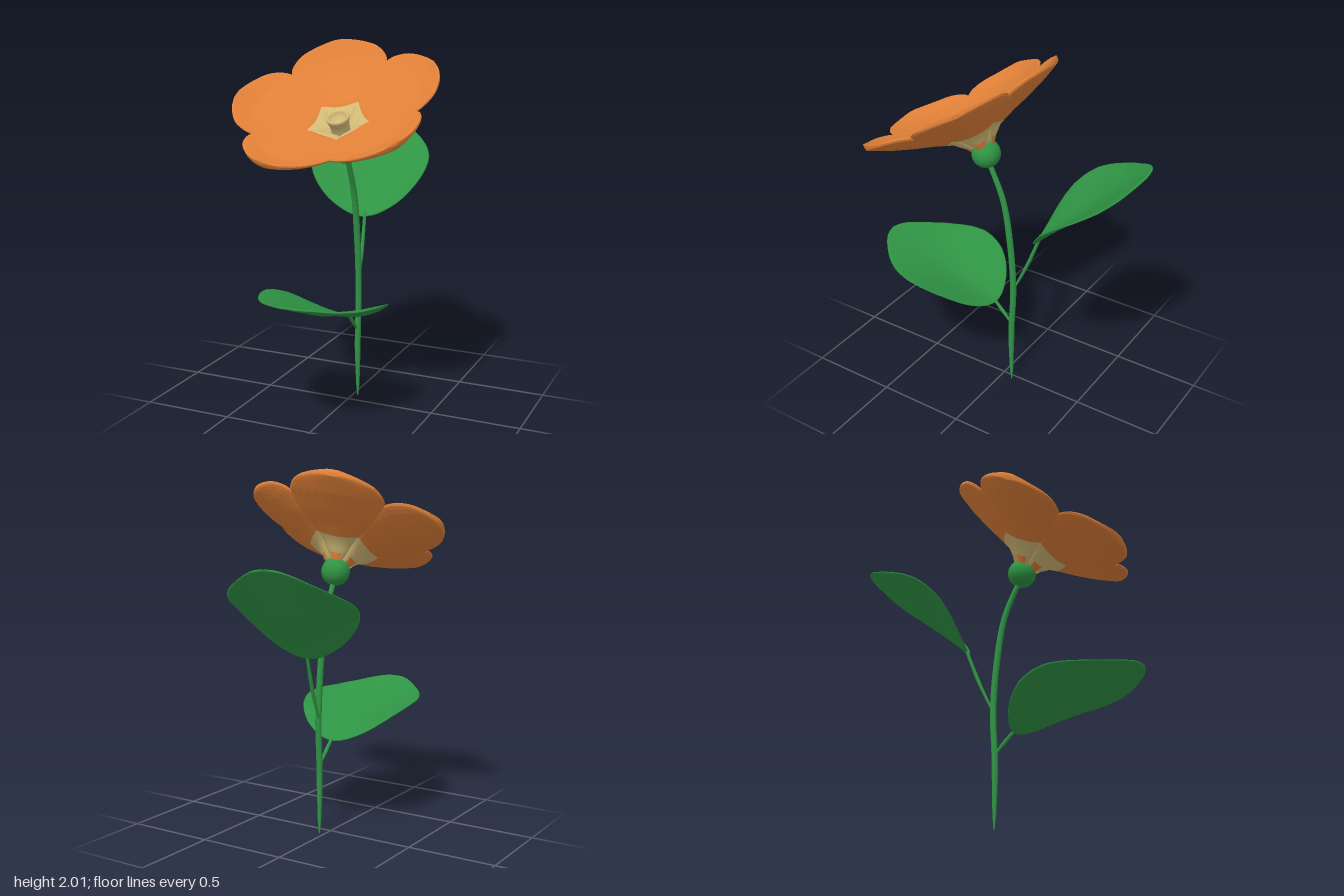
import * as THREE from 'three';

const mat = (name, color, flatShading = false) => {
  const m = new THREE.MeshStandardMaterial({ color, flatShading, side: THREE.DoubleSide });
  m.name = name;
  return m;
};
const v3 = (p) => new THREE.Vector3(...p);

// Piecewise-linear lookup in a short table of [x, y] pairs
function lookup(table, x) {
  for (let i = 1; i < table.length; i++) {
    const [x0, y0] = table[i - 1], [x1, y1] = table[i];
    if (x <= x1) return y0 + (y1 - y0) * Math.max(0, (x - x0) / (x1 - x0));
  }
  return table[table.length - 1][1];
}

// Cupped blade growing along +z: one rounded ring per [u, halfWidth] station,
// lying between the surfaces top(u, s, w) and bottom(u, s, w).
// lean(u) tips a ring so its upper side sits nearer the base.
function blade(stations, top, bottom, lean) {
  const m = 28, pos = [], idx = [];
  stations.forEach(([u0, w]) => {
    const taper = Math.min(1, w / 0.05);
    for (let k = 0; k < m; k++) {
      const a = (2 * Math.PI * k) / m, s = Math.cos(a), n = Math.sin(a);
      const u = u0 - lean(u0) * n;
      const hi = top(u, s, w), lo = bottom(u, s, w);
      const offset = (hi - lo) / 2 * taper * Math.sign(n) * Math.abs(n) ** 0.5;
      pos.push(s * w, (hi + lo) / 2 + offset, u);
    }
  });
  for (let i = 0; i < stations.length - 1; i++) {
    for (let k = 0; k < m; k++) {
      const a = i * m + k, b = i * m + ((k + 1) % m);
      idx.push(a, b, a + m, b, b + m, a + m);
    }
  }
  const g = new THREE.BufferGeometry();
  g.setAttribute('position', new THREE.Float32BufferAttribute(pos, 3));
  g.setIndex(idx);
  g.computeVertexNormals();
  return g;
}

// Sample a smooth outline through a few [u, halfWidth] points
function outline(points, n) {
  return new THREE.SplineCurve(points.map(p => new THREE.Vector2(...p)))
    .getPoints(n).map(p => [p.x, Math.max(0, p.y)]);
}

// Tube whose radius follows a table over its length
function taperedTube(points, radii, segments) {
  const path = new THREE.CatmullRomCurve3(points.map(v3)), sides = 12;
  const g = new THREE.TubeGeometry(path, segments, 1, sides, false);
  const p = g.attributes.position, v = new THREE.Vector3();
  for (let i = 0; i < p.count; i++) {
    const t = Math.floor(i / (sides + 1)) / segments, c = path.getPointAt(t);
    v.fromBufferAttribute(p, i).sub(c).multiplyScalar(lookup(radii, t)).add(c);
    p.setXYZ(i, v.x, v.y, v.z);
  }
  return g;
}

export function createModel() {
  const model = new THREE.Group();
  const green = mat('leaf green', 0x2f9444);
  const orange = mat('petal orange', 0xe08038, true);
  const cream = mat('throat yellow', 0xd6bd78);
  const add = (parent, name, geometry, material) => {
    const mesh = new THREE.Mesh(geometry, material);
    mesh.name = name;
    parent.add(mesh);
    return mesh;
  };

  // Stem and leaf stalks
  add(model, 'stem', taperedTube(
    [[0.03, 0, -0.07], [0.03, 0.35, -0.067], [0.03, 0.65, -0.078], [0.03, 0.95, -0.055],
      [0.03, 1.2, -0.01], [0.03, 1.42, 0.085]],
    [[0, 0.003], [0.05, 0.01], [0.2, 0.017], [0.7, 0.018], [1, 0.014]], 40), green);
  const stalkRadii = [[0, 0.006], [0.5, 0.011], [1, 0.009]];
  add(model, 'backStalk', taperedTube(
    [[0.025, 0.64, -0.075], [0.015, 0.82, -0.155], [0.0, 1.04, -0.235]], stalkRadii, 10), green);
  add(model, 'frontStalk', taperedTube(
    [[0.025, 0.4, -0.065], [0.025, 0.45, -0.02], [0.025, 0.52, 0.05]], stalkRadii, 10), green);

  // Two cupped leaves of the same shape
  const leafOutline = outline([[0, 0], [0.02, 0.09], [0.09, 0.21], [0.2, 0.3], [0.33, 0.342],
    [0.45, 0.33], [0.58, 0.265], [0.69, 0.165], [0.755, 0.08], [0.78, 0]], 36);
  const leafEdge = [[0, 0], [0.08, 0.045], [0.14, 0.07], [0.2, 0.086], [0.28, 0.091], [0.36, 0.083],
    [0.45, 0.06], [0.55, 0.03], [0.65, 0.01], [0.78, 0]];
  const leafMiddle = [[0, 0], [0.15, -0.002], [0.37, -0.012], [0.58, -0.006], [0.78, 0]];
  const leafHeight = (u, s) =>
    THREE.MathUtils.lerp(lookup(leafMiddle, u), lookup(leafEdge, u), Math.abs(s) ** 1.4);
  const leafGeometry = blade(leafOutline,
    (u, s) => leafHeight(u, s) + 0.007, (u, s) => leafHeight(u, s) - 0.007, () => 0);
  const leaf = (name, base, pitch, yaw) => {
    const mesh = add(model, name, leafGeometry, green);
    mesh.position.set(...base);
    mesh.rotation.set(-pitch, yaw, 0, 'YXZ');
  };
  leaf('frontLeaf', [0.02, 0.51, 0.04], 0.335, 0);
  leaf('backLeaf', [-0.008, 1.015, -0.22], 0.73, Math.atan2(-0.12, -0.55));

  // Flower head, tilted toward the front
  const flower = new THREE.Group();
  flower.name = 'flower';
  flower.position.set(0.03, 1.46, 0.1);
  flower.rotation.x = Math.PI / 6;
  model.add(flower);

  const calyx = add(flower, 'calyx', new THREE.SphereGeometry(0.079, 24, 16), green);
  calyx.position.y = -0.008;

  // Five thick cupped petals, each a yellow throat piece and an orange blade with a raised lip
  const outer = [[0.04, 0.02], [0.08, 0.05], [0.14, 0.106], [0.25, 0.152], [0.345, 0.185],
    [0.46, 0.232], [0.56, 0.282], [0.65, 0.32]];
  const inner = [[0.04, 0.122], [0.09, 0.15], [0.15, 0.182], [0.25, 0.207], [0.35, 0.231],
    [0.45, 0.262], [0.52, 0.298], [0.57, 0.328], [0.65, 0.35]];
  const lift = (u, s, w) => 0.022 * (s * w / 0.26) ** 2 * THREE.MathUtils.smoothstep(u, 0.1, 0.4);
  const petalTop = (u, s, w) => lookup(inner, Math.hypot(u, s * w)) + lift(u, s, w);
  const petalBottom = (u, s, w) => lookup(outer, Math.hypot(u, s * w)) + lift(u, s, w);
  const petalLean = (u) => lookup([[0.08, 0], [0.154, 0.025], [0.3, 0]], u);
  const throat = [[0.045, 0.042], [0.07, 0.06], [0.1, 0.082], [0.125, 0.103], [0.154, 0.128]];
  const petal = outline([[0.154, 0.128], [0.22, 0.188], [0.29, 0.24], [0.36, 0.262], [0.42, 0.248],
    [0.48, 0.205], [0.53, 0.128], [0.555, 0.058], [0.563, 0]], 28);
  const throatGeometry = blade(throat, petalTop, petalBottom, petalLean);
  const petalGeometry = blade(petal, petalTop, petalBottom, petalLean);
  // Small orange heel showing where each petal leaves the calyx
  const heelGeometry = new THREE.CylinderGeometry(0.096, 0.07, 0.034, 8, 1, true, -0.35, 0.7);
  heelGeometry.translate(0, 0.05, 0);
  for (let i = 0; i < 5; i++) {
    const yaw = -Math.PI / 2 + (i * 2 * Math.PI) / 5;
    add(flower, 'petalThroat', throatGeometry, cream).rotation.y = yaw;
    add(flower, 'petal', petalGeometry, orange).rotation.y = yaw;
    add(flower, 'petalHeel', heelGeometry, orange).rotation.y = yaw;
  }

  // Hollow pistil in the middle
  const pistil = [[0.054, 0.06], [0.05, 0.13], [0.054, 0.165], [0.061, 0.187], [0.061, 0.198], [0.054, 0.203],
    [0.045, 0.196], [0.036, 0.172], [0, 0.16]].map(p => new THREE.Vector2(...p));
  add(flower, 'pistil', new THREE.LatheGeometry(pistil, 24), cream);

  return model;
}
